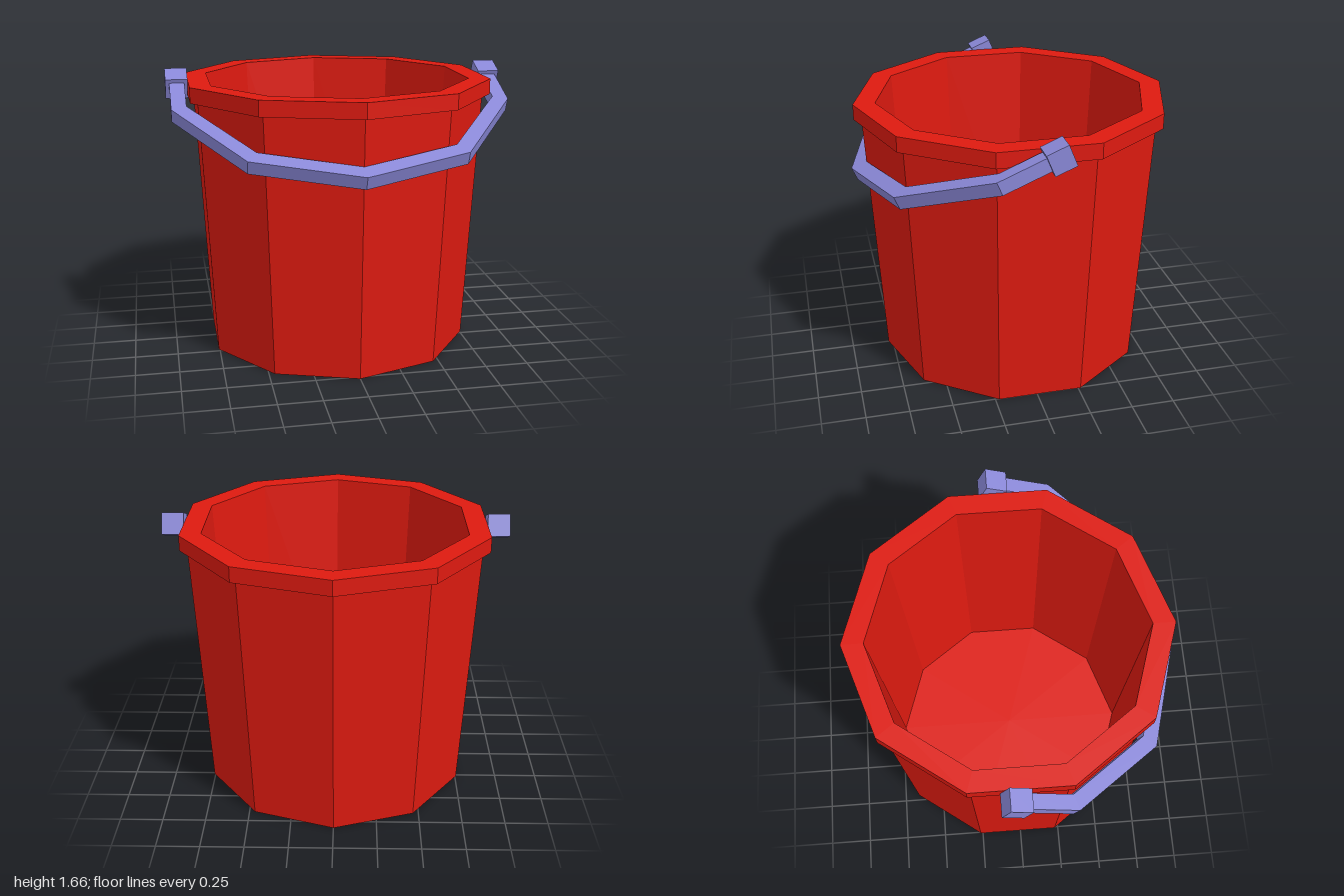
import * as THREE from 'three';

const red = new THREE.MeshStandardMaterial({ color: 0xdd1a10, flatShading: true });
const violet = new THREE.MeshStandardMaterial({ color: 0x8a88d8, flatShading: true });

function addPart(parent, name, geometry, material) {
  const flat = geometry.index ? geometry.toNonIndexed() : geometry;
  flat.computeVertexNormals();
  const mesh = new THREE.Mesh(flat, material);
  mesh.name = name;
  parent.add(mesh);
  return mesh;
}

export function createModel() {
  const model = new THREE.Group();
  model.name = 'bucket';

  // Ten-sided tapered shell: base, outer wall, rim lip, inner wall, floor
  const profile = [
    [0, 0], [0.795, 0], [0.873, 1.51], [0.917, 1.51],
    [0.917, 1.6], [0.79, 1.6], [0.71, 0.05], [0, 0.05],
  ].map(([r, y]) => new THREE.Vector2(r, y));
  const shell = addPart(model, 'shell', new THREE.LatheGeometry(profile, 10), red);
  shell.position.z = -0.018;

  // Handle group: local y runs away from the pivots, tipped forward and down
  const handle = new THREE.Group();
  handle.name = 'handle';
  handle.position.set(0, 1.577, -0.045);
  handle.rotation.x = Math.PI / 2 + 0.396;
  model.add(handle);

  // Bail: outer and inner half outlines, mirrored into one closed band
  const mirrored = (half) => [...half, ...half.slice(0, -1).reverse().map(([x, y]) => [-x, y])];
  const outer = mirrored([[0.978, 0], [0.978, 0.341], [0.605, 0.856], [0, 1.04]]);
  const inner = mirrored([[0.892, 0], [0.892, 0.31], [0.55, 0.777], [0, 0.946]]);
  const outline = [...outer, ...inner.reverse()].map(([x, y]) => new THREE.Vector2(x, y));
  const thickness = 0.08;
  const band = new THREE.ExtrudeGeometry(new THREE.Shape(outline), { depth: thickness, bevelEnabled: false });
  band.translate(0, 0, -thickness / 2);
  addPart(handle, 'bail', band, violet);

  // Pivot blocks at each side of the rim
  for (const side of [1, -1]) {
    const block = addPart(handle, side > 0 ? 'leftPivot' : 'rightPivot', new THREE.BoxGeometry(0.127, 0.127, 0.127), violet);
    block.position.x = side * 0.9365;
  }
  return model;
}
